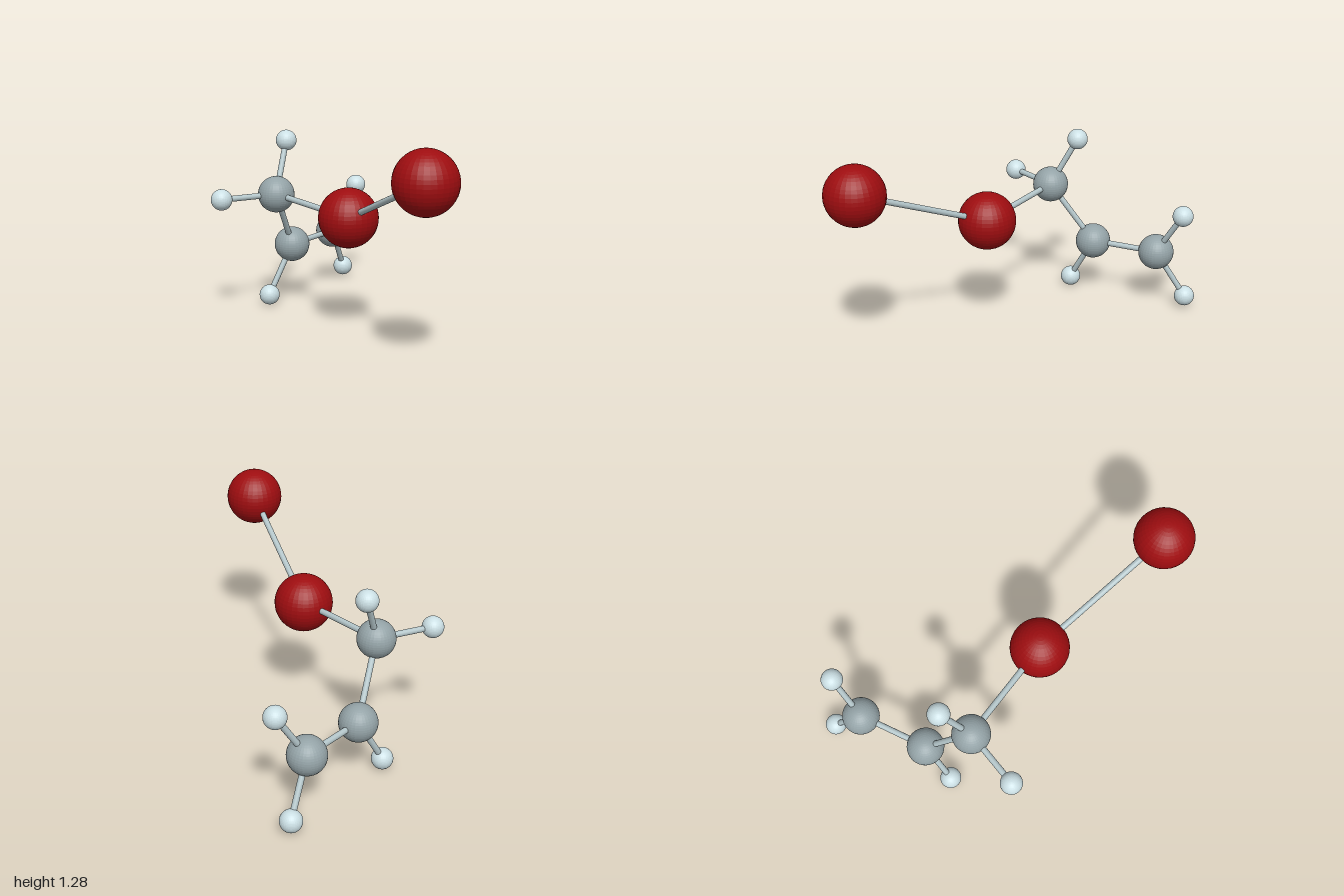
import * as THREE from 'three';

const KINDS = {
  heavyAtom: { radius: 0.18, color: 0x9e0d10 },
  carbonAtom: { radius: 0.115, color: 0x94a3a7 },
  hydrogenAtom: { radius: 0.066, color: 0xcbdfe4 },
};

// Atom centres: kind, x, y, z
const ATOMS = {
  outerHeavy: ['heavyAtom', 0.82, 1.107, 0.592],
  innerHeavy: ['heavyAtom', -0.018, 0.738, 0.256],
  carbon1: ['carbonAtom', -0.69, 0.78, 0.19],
  carbon2: ['carbonAtom', -0.818, 0.385, -0.071],
  carbon3: ['carbonAtom', -0.86, 0.388, -0.515],
  hydrogen1a: ['hydrogenAtom', -0.754, 1.1, 0.029],
  hydrogen1b: ['hydrogenAtom', -0.817, 0.782, 0.536],
  hydrogen2: ['hydrogenAtom', -0.851, 0.069, 0.114],
  hydrogen3a: ['hydrogenAtom', -0.815, 0.692, -0.709],
  hydrogen3b: ['hydrogenAtom', -0.936, 0.083, -0.7],
};

const BONDS = [
  ['outerHeavy', 'innerHeavy'],
  ['innerHeavy', 'carbon1'],
  ['carbon1', 'carbon2'],
  ['carbon2', 'carbon3'],
  ['carbon1', 'hydrogen1a'],
  ['carbon1', 'hydrogen1b'],
  ['carbon2', 'hydrogen2'],
  ['carbon3', 'hydrogen3a'],
  ['carbon3', 'hydrogen3b'],
];

const centre = (name) => new THREE.Vector3(...ATOMS[name].slice(1));

// Rod running between the centres of two atoms
function makeBond(from, to, material) {
  const a = centre(from), b = centre(to);
  const axis = b.clone().sub(a);
  const bond = new THREE.Mesh(new THREE.CylinderGeometry(0.0185, 0.0185, axis.length(), 16), material);
  bond.position.copy(a).add(b).multiplyScalar(0.5);
  bond.quaternion.setFromUnitVectors(new THREE.Vector3(0, 1, 0), axis.normalize());
  bond.name = `bond ${from} to ${to}`;
  return bond;
}

export function createModel() {
  const model = new THREE.Group();
  model.name = 'ballAndStickMolecule';

  // One shared sphere and material per kind of atom
  const parts = {};
  for (const [kind, { radius, color }] of Object.entries(KINDS)) {
    parts[kind] = {
      geometry: new THREE.SphereGeometry(radius, 32, 24),
      material: new THREE.MeshStandardMaterial({ color, flatShading: true }),
    };
  }

  // Atoms
  for (const [name, [kind]] of Object.entries(ATOMS)) {
    const atom = new THREE.Mesh(parts[kind].geometry, parts[kind].material);
    atom.position.copy(centre(name));
    atom.name = name;
    model.add(atom);
  }

  // Bonds
  const bondMaterial = new THREE.MeshStandardMaterial({ color: 0xb4c6ca });
  for (const [from, to] of BONDS) model.add(makeBond(from, to, bondMaterial));

  return model;
}
